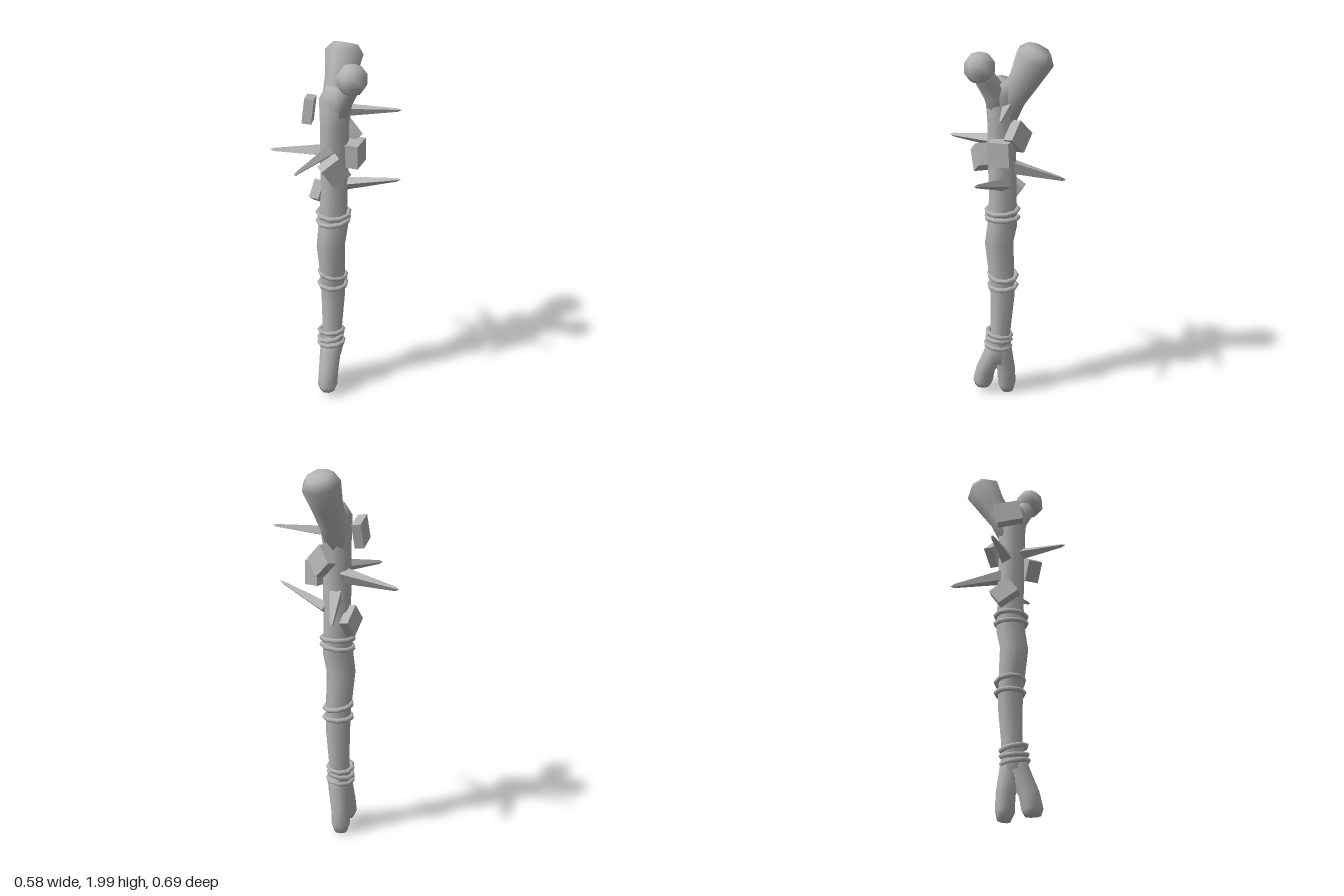
import * as THREE from 'three';

const bone = new THREE.MeshStandardMaterial({ color: 0xb4b4b4 });
bone.name = 'bone grey';
const boneFlat = bone; // one colour for everything

const V = (a) => new THREE.Vector3(a[0], a[1], a[2]);

// Closed limb lofted through sections [x, y, z, radius], rings square to the path
function limb(name, sections, sides = 8) {
  const pos = [], idx = [];
  const pts = sections.map(V);
  const last = pts.length - 1;
  pts.forEach((p, i) => {
    const t = pts[Math.min(i + 1, last)].clone().sub(pts[Math.max(i - 1, 0)]).normalize();
    const u = new THREE.Vector3(0, 0, 1).cross(t).normalize();
    const v = t.clone().cross(u);
    for (let j = 0; j < sides; j++) {
      const a = (j / sides) * Math.PI * 2, r = sections[i][3];
      const q = p.clone().addScaledVector(u, r * Math.cos(a)).addScaledVector(v, r * Math.sin(a));
      pos.push(q.x, q.y, q.z);
    }
  });
  pos.push(...pts[0].toArray(), ...pts[last].toArray());
  const c0 = (last + 1) * sides, c1 = c0 + 1;
  for (let j = 0; j < sides; j++) {
    const k = (j + 1) % sides, e = last * sides;
    for (let i = 0; i < last; i++) {
      const a = i * sides + j, b = i * sides + k;
      idx.push(a, b, b + sides, a, b + sides, a + sides);
    }
    idx.push(c0, k, j, c1, e + j, e + k);
  }
  const g = new THREE.BufferGeometry();
  g.setAttribute('position', new THREE.Float32BufferAttribute(pos, 3));
  g.setIndex(idx);
  g.computeVertexNormals();
  const m = new THREE.Mesh(g, bone);
  m.name = name;
  return m;
}

// Four-sided thorn with a blunt point, running from base to tip
function spike(base, tip, r) {
  const b = V(base), d = V(tip).sub(b), len = d.length();
  const profile = [[0, 0], [r, 0], [r * 0.27, len * 0.93], [0, len]].map((p) => new THREE.Vector2(p[0], p[1]));
  const g = new THREE.LatheGeometry(profile, 4).toNonIndexed();
  g.computeVertexNormals();
  const m = new THREE.Mesh(g, boneFlat);
  m.position.copy(b);
  m.quaternion.setFromUnitVectors(new THREE.Vector3(0, 1, 0), d.normalize());
  m.name = 'spike';
  return m;
}

// Stud block whose broad face looks along dir, rolled about that direction
function block(center, size, dir, roll) {
  const m = new THREE.Mesh(new THREE.BoxGeometry(...size), boneFlat);
  m.position.copy(V(center));
  m.lookAt(V(center).add(V(dir)));
  m.rotateZ(roll);
  m.name = 'block';
  return m;
}

// Cord ring around the shaft, tilted a little
function cord(x, y, z, r, tiltX, tiltZ) {
  const g = new THREE.TorusGeometry(r, 0.013, 6, 9);
  g.rotateX(Math.PI / 2);
  const m = new THREE.Mesh(g, bone);
  m.position.set(x, y, z);
  m.rotation.set(tiltX, 0, tiltZ);
  m.name = 'cordRing';
  return m;
}

export function createModel() {
  const club = new THREE.Group();
  club.name = 'boneClub';

  // Shaft
  club.add(limb('shaft', [
    [0.025, 0.2, 0, 0.05], [0.025, 0.28, 0, 0.068], [0.035, 0.4, -0.005, 0.055],
    [0.045, 0.6, -0.007, 0.065], [0.04, 0.72, -0.007, 0.067], [0.022, 0.92, -0.007, 0.076],
    [0.042, 1.02, -0.007, 0.079], [0.047, 1.2, -0.005, 0.071], [0.043, 1.4, 0, 0.073],
    [0.042, 1.6, 0, 0.073], [0.047, 1.74, 0.005, 0.085], [0.06, 1.8, 0.01, 0.06],
  ]));

  // Upper knuckles
  club.add(limb('largeKnuckle', [
    [0.05, 1.6, -0.01, 0.06], [0.085, 1.71, -0.02, 0.073], [0.145, 1.81, -0.04, 0.079],
    [0.2, 1.925, -0.055, 0.1], [0.218, 1.965, -0.06, 0.065],
  ], 7));
  club.add(limb('smallKnuckleNeck', [
    [0.045, 1.62, 0, 0.06], [0.035, 1.74, 0.045, 0.06], [0.018, 1.82, 0.1, 0.052], [0.008, 1.88, 0.135, 0.05],
  ]));
  const ball = new THREE.Mesh(new THREE.SphereGeometry(0.079, 8, 5), bone);
  ball.position.set(0.005, 1.88, 0.13);
  ball.name = 'smallKnuckle';
  club.add(ball);

  // Lower knuckles
  club.add(limb('lowerKnuckle', [
    [0.025, 0.34, 0, 0.055], [0, 0.25, 0.008, 0.06], [-0.045, 0.14, 0.027, 0.055],
    [-0.06, 0.06, 0.033, 0.056], [-0.06, 0.03, 0.035, 0.042],
  ]));
  club.add(limb('lowerKnuckle', [
    [0.035, 0.34, 0, 0.055], [0.042, 0.25, -0.01, 0.057], [0.053, 0.14, -0.033, 0.05],
    [0.054, 0.05, -0.038, 0.05], [0.058, 0.004, -0.042, 0.034],
  ]));

  // Cord bindings: x, y, z, radius, tilts
  [
    [0.043, 1.11, -0.005, 0.083, 0.03, 0.04], [0.043, 1.068, -0.005, 0.083, -0.1, 0.06],
    [0.045, 0.735, -0.01, 0.073, 0.1, -0.15], [0.045, 0.673, -0.01, 0.073, 0, 0],
    [0.025, 0.375, -0.005, 0.066, -0.15, -0.14], [0.022, 0.338, -0.005, 0.066, -0.2, 0.05],
    [0.02, 0.302, 0, 0.068, -0.15, -0.06],
  ].forEach((c) => club.add(cord(...c)));

  // Spikes: base, tip, radius
  [
    [[0.05, 1.45, -0.05], [-0.052, 1.41, -0.345], 0.042],
    [[0.08, 1.35, -0.03], [0.29, 1.265, -0.22], 0.042],
    [[0.02, 1.485, 0.005], [-0.292, 1.455, 0.003], 0.037],
    [[0.1, 1.672, 0.025], [0.235, 1.685, 0.27], 0.032],
    [[0.09, 1.27, 0.03], [0.135, 1.365, 0.342], 0.035],
  ].forEach((s) => club.add(spike(...s)));

  // Blocks: centre, size, facing direction, roll
  [
    [[0.145, 1.53, 0.003], [0.115, 0.115, 0.055], [1, 0.15, 0.05], Math.PI / 4],
    [[0.1, 1.455, 0.085], [0.115, 0.125, 0.075], [0.25, 0, 1], 0.05],
    [[-0.04, 1.4, 0.06], [0.11, 0.115, 0.075], [-0.6, 0, 0.8], 0.6],
    [[-0.008, 1.675, -0.12], [0.14, 0.125, 0.048], [-0.5, 0.1, -0.85], 0.2],
    [[0.03, 1.215, -0.09], [0.125, 0.1, 0.05], [-0.3, 0.15, -1], 0.6],
  ].forEach((b) => club.add(block(...b)));

  return club;
}
